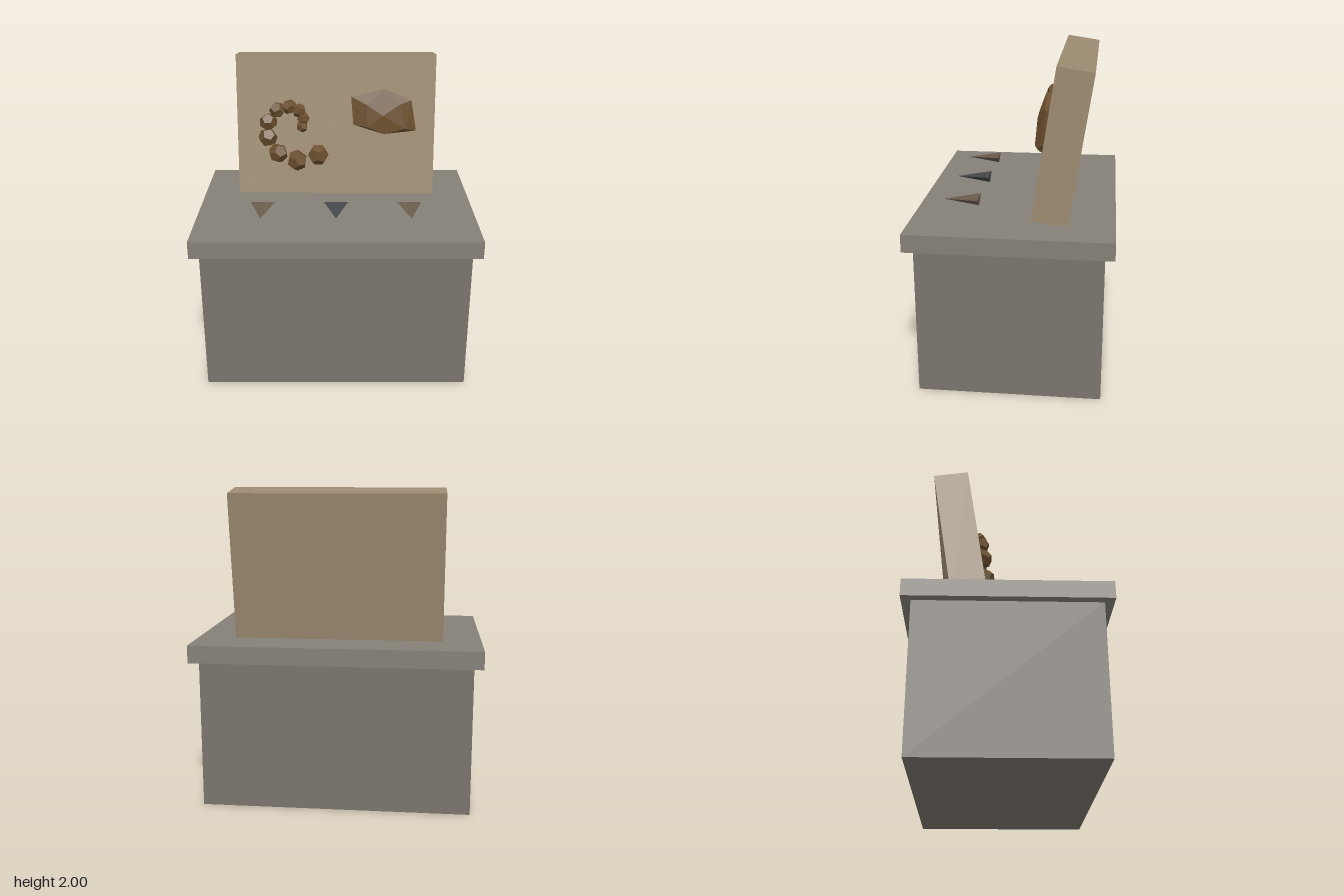
import * as THREE from 'three';
import { ConvexGeometry } from 'three/addons/geometries/ConvexGeometry.js';

const TILT = 0.15;      // backward lean of the slab
const SLAB_Y = 1.521;   // slab centre height
const SLAB_DEPTH = 0.222;

const material = (color) => new THREE.MeshStandardMaterial({ color, flatShading: true });

function addMesh(parent, name, geometry, mat, x = 0, y = 0, z = 0) {
  const mesh = new THREE.Mesh(geometry, mat);
  mesh.name = name;
  mesh.position.set(x, y, z);
  parent.add(mesh);
  return mesh;
}

// Slab-local point seen at height y, standing "lift" proud of the slab's front face
function onSlab(x, y, lift) {
  const z = SLAB_DEPTH / 2 + lift;
  return new THREE.Vector3(x, (y - SLAB_Y - z * Math.sin(TILT)) / Math.cos(TILT), z);
}

export function createModel() {
  const model = new THREE.Group();
  model.name = 'fossilDisplay';
  const fossilMat = material(0x6b4f2e);

  // Plinth and its overhanging top
  addMesh(model, 'plinth', new THREE.BoxGeometry(1.69, 0.945, 1.125), material(0x7a746c), 0, 0.4725, 0);
  addMesh(model, 'plinthTop', new THREE.BoxGeometry(1.8, 0.11, 1.24), material(0x858077), 0, 0.997, 0);

  // Leaning stone slab, carrying the fossils
  const slabGroup = new THREE.Group();
  slabGroup.name = 'fossilSlab';
  slabGroup.position.set(0, SLAB_Y, -0.295);
  slabGroup.rotation.x = -TILT;
  model.add(slabGroup);
  addMesh(slabGroup, 'slab', new THREE.BoxGeometry(1.32, 0.935, SLAB_DEPTH), material(0x9c8a70));

  // Spiral fossil: x, y and width of each bead, from the outer end inwards
  const spiral = new THREE.Group();
  spiral.name = 'spiralFossil';
  slabGroup.add(spiral);
  const beads = [
    [-0.12, 1.345, 0.135], [-0.262, 1.308, 0.134], [-0.39, 1.357, 0.125], [-0.457, 1.463, 0.12],
    [-0.452, 1.565, 0.113], [-0.39, 1.645, 0.104], [-0.312, 1.665, 0.096], [-0.247, 1.64, 0.09],
    [-0.218, 1.588, 0.083], [-0.228, 1.535, 0.076],
  ];
  beads.forEach(([x, y, width], i) => {
    const bead = addMesh(spiral, 'spiralBead', new THREE.DodecahedronGeometry(width * 0.535), fossilMat);
    bead.position.copy(onSlab(x, y, 0.02));
    bead.rotation.z = i * 0.4;
  });

  // Shell fossil: faceted lump with an irregular rim and a raised front
  const shellPoints = [
    [0.1, 1.73, 0.018], [0.32, 1.79, 0.045], [0.5, 1.71, 0.03],
    [0.535, 1.505, 0.012], [0.315, 1.495, 0.055], [0.115, 1.55, 0.03],
    [0.2, 1.69, 0.06], [0.42, 1.69, 0.065], [0.46, 1.53, 0.06], [0.21, 1.54, 0.06], [0.31, 1.62, 0.075],
    [0.16, 1.72, -0.01], [0.45, 1.7, -0.01], [0.45, 1.53, -0.01], [0.17, 1.57, -0.01], [0.32, 1.77, -0.005],
  ].map((p) => onSlab(...p));
  addMesh(slabGroup, 'shellFossil', new ConvexGeometry(shellPoints), fossilMat);

  // Three flattened teeth pointing forward
  const toothGeometry = new THREE.ConeGeometry(0.09, 0.22, 3).rotateX(Math.PI / 2).scale(1, 0.4, 1);
  [[-0.47, 0x6b5c4e], [0, 0x45474a], [0.47, 0x6b5c4e]].forEach(([x, color]) => {
    addMesh(model, 'fossilTooth', toothGeometry, material(color), x, 1.132, 0.335);
  });

  return model;
}
